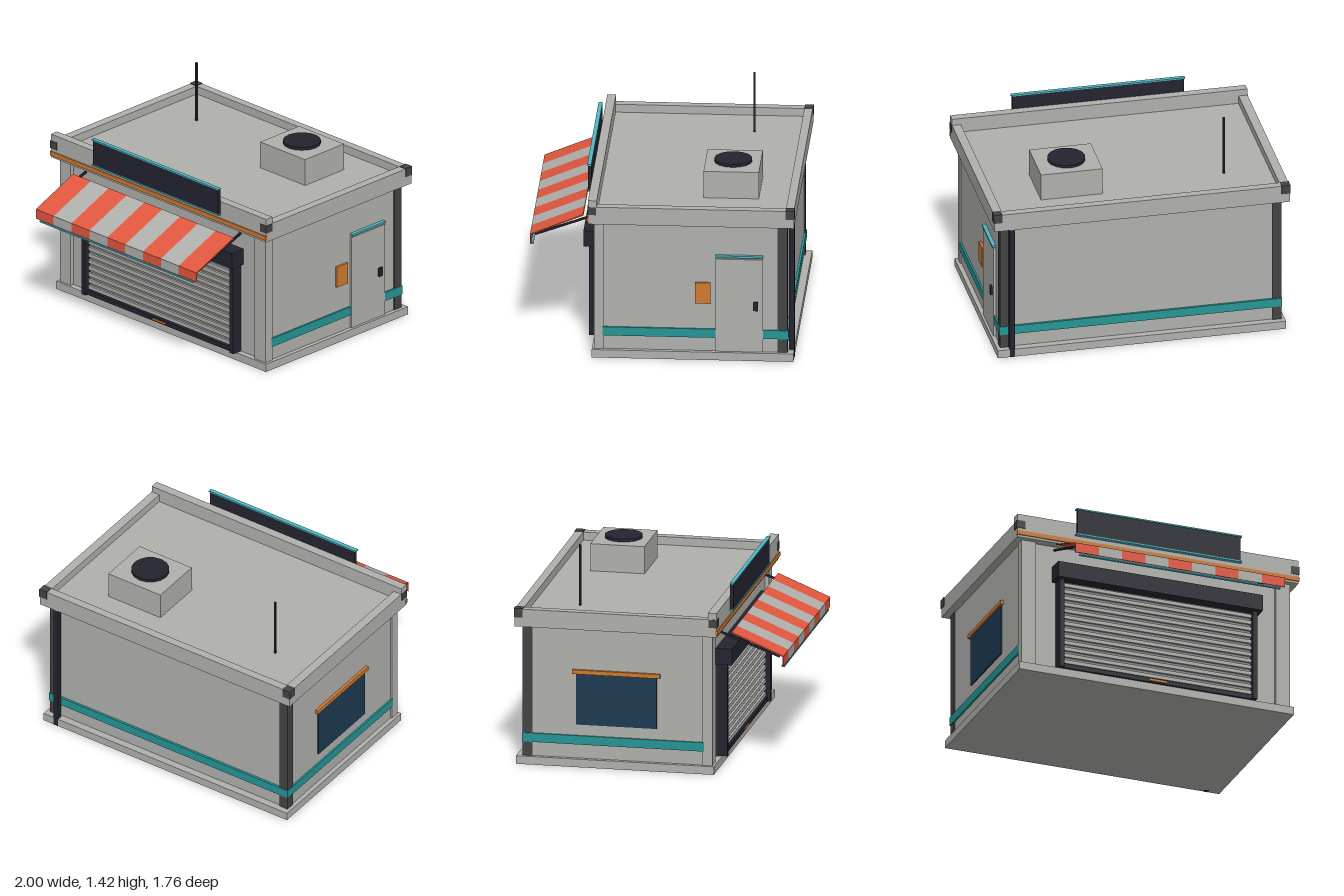
import * as THREE from 'three';

const mat = (name, color) => {
  const m = new THREE.MeshStandardMaterial({ color });
  m.name = name;
  return m;
};

export function createModel() {
  const root = new THREE.Group();
  root.name = 'kiosk';
  const grey = mat('concrete grey', 0xb0b0ad);
  const slatGrey = mat('shutter backing grey', 0x838383);
  const dark = mat('dark navy', 0x242430);
  const charcoal = mat('charcoal', 0x434343);
  const orange = mat('orange', 0xd07a2e);
  const teal = mat('teal', 0x259595);
  const cyan = mat('light cyan', 0x4fb8c4);
  const red = mat('awning red', 0xe2573f);
  const blue = mat('window blue', 0x1c3a52);

  // Box given by its minimum and maximum on each axis
  const box = (name, m, x0, x1, y0, y1, z0, z1, parent = root) => {
    const mesh = new THREE.Mesh(new THREE.BoxGeometry(x1 - x0, y1 - y0, z1 - z0), m);
    mesh.position.set((x0 + x1) / 2, (y0 + y1) / 2, (z0 + z1) / 2);
    mesh.name = name;
    parent.add(mesh);
    return mesh;
  };
  // The same box on both sides of x = 0
  const pair = (name, m, x0, x1, ...r) => {
    box(name + 'Left', m, x0, x1, ...r);
    box(name + 'Right', m, -x1, -x0, ...r);
  };
  const group = (name) => {
    const g = new THREE.Group();
    g.name = name;
    root.add(g);
    return g;
  };

  // Base, walls and pillars
  box('base', grey, -0.97, 0.97, 0, 0.055, -0.87, 0.46);
  box('walls', grey, -0.94, 0.94, 0.055, 0.945, -0.82, 0.42);
  pair('frontPillar', grey, 0.85, 0.95, 0.055, 0.945, 0.38, 0.445);
  pair('backPost', charcoal, 0.885, 0.947, 0.055, 0.945, -0.83, -0.765);

  // Painted band around the sides and back
  pair('sideBand', teal, 0.94, 0.952, 0.15, 0.21, -0.835, 0.39);
  box('backBand', teal, -0.952, 0.952, 0.15, 0.21, -0.835, -0.815);

  // Roof slab, parapet and corner caps
  box('roofSlab', grey, -0.995, 0.995, 0.945, 1.01, -0.875, 0.483);
  pair('sideParapet', grey, 0.935, 0.995, 1.01, 1.065, -0.875, 0.425);
  box('backParapet', grey, -0.935, 0.935, 1.01, 1.065, -0.875, -0.82);
  box('frontParapet', grey, -0.995, 0.995, 1.01, 1.11, 0.425, 0.483);
  pair('backCap', charcoal, 0.94, 0.999, 1.008, 1.069, -0.879, -0.82);
  pair('frontCap', charcoal, 0.94, 0.999, 1.01, 1.064, 0.43, 0.487);
  box('roofTrim', orange, -0.998, 0.998, 0.96, 0.99, 0.475, 0.491);

  // Sign panel
  box('signPanel', dark, -0.58, 0.575, 1.025, 1.2, 0.487, 0.508);
  for (const y of [1.018, 1.2]) box('signTrim', cyan, -0.588, 0.583, y, y + 0.009, 0.487, 0.514);

  // Rooftop unit, fan and aerial
  box('coolingUnit', grey, 0.21, 0.625, 1.01, 1.195, -0.62, -0.255);
  const fan = new THREE.Mesh(new THREE.CylinderGeometry(0.125, 0.125, 0.02, 16).toNonIndexed(), dark);
  fan.geometry.computeVertexNormals();
  fan.position.set(0.415, 1.205, -0.438);
  fan.name = 'fan';
  root.add(fan);
  box('aerial', dark, -0.638, -0.624, 1.01, 1.425, -0.518, -0.504);

  // Roller shutter with its frame
  const shutter = group('shutter');
  box('shutterBacking', slatGrey, -0.67, 0.67, 0.055, 0.69, 0.42, 0.45, shutter);
  const slats = 13, pitch = 0.6 / slats;
  for (let i = 0; i < slats; i++) {
    const y = 0.094 + i * pitch;
    box('slat', grey, -0.668, 0.668, y, y + pitch * 0.55, 0.44, 0.465, shutter);
  }
  box('bottomBar', dark, -0.67, 0.67, 0.055, 0.086, 0.44, 0.475, shutter);
  box('pull', orange, -0.062, 0.062, 0.063, 0.076, 0.47, 0.482, shutter);
  pair('shutterRail', dark, 0.668, 0.7, 0.055, 0.69, 0.42, 0.494);
  box('shutterHousing', dark, -0.725, 0.725, 0.685, 0.795, 0.42, 0.53);

  // Striped awning: sloping cloth, valance, hem and arms
  const awning = group('awning');
  const sloped = (name, m, x, w, t, za, ya, zb, yb) => {
    const len = Math.hypot(zb - za, yb - ya);
    const mesh = new THREE.Mesh(new THREE.BoxGeometry(w, t, len), m);
    mesh.position.set(x, (ya + yb) / 2, (za + zb) / 2);
    mesh.rotation.x = Math.atan2(ya - yb, zb - za);
    mesh.name = name;
    awning.add(mesh);
  };
  const w = 1.485 / 9;
  for (let i = 0; i < 9; i++) {
    const x = -0.7425 + (i + 0.5) * w, m = i % 2 ? grey : red;
    sloped('awningStripe', m, x, w, 0.008, 0.53, 0.913, 0.879, 0.769);
    box('valanceStripe', m, x - w / 2, x + w / 2, 0.705, 0.77, 0.873, 0.88, awning);
  }
  box('awningHem', cyan, -0.71, 0.71, 0.69, 0.699, 0.86, 0.88, awning);
  for (const x of [-0.715, 0.715]) sloped('awningArm', dark, x, 0.014, 0.014, 0.44, 0.912, 0.85, 0.763);

  // Side door with canopy strip, handle and meter box
  box('door', grey, 0.93, 0.956, 0.058, 0.705, -0.667, -0.355);
  box('doorStrip', cyan, 0.935, 0.965, 0.718, 0.731, -0.667, -0.355);
  box('doorHandle', dark, 0.95, 0.97, 0.35, 0.41, -0.637, -0.605);
  box('meterBox', orange, 0.935, 0.957, 0.39, 0.535, -0.322, -0.22);

  // Window on the other side, with hood
  box('window', blue, -0.949, -0.935, 0.285, 0.635, -0.47, 0.07);
  box('windowHood', orange, -0.96, -0.935, 0.632, 0.66, -0.495, 0.095);

  // Drainpipe on the back
  box('drainpipe', dark, 0.855, 0.89, 0, 0.945, -0.872, -0.836);
  return root;
}
